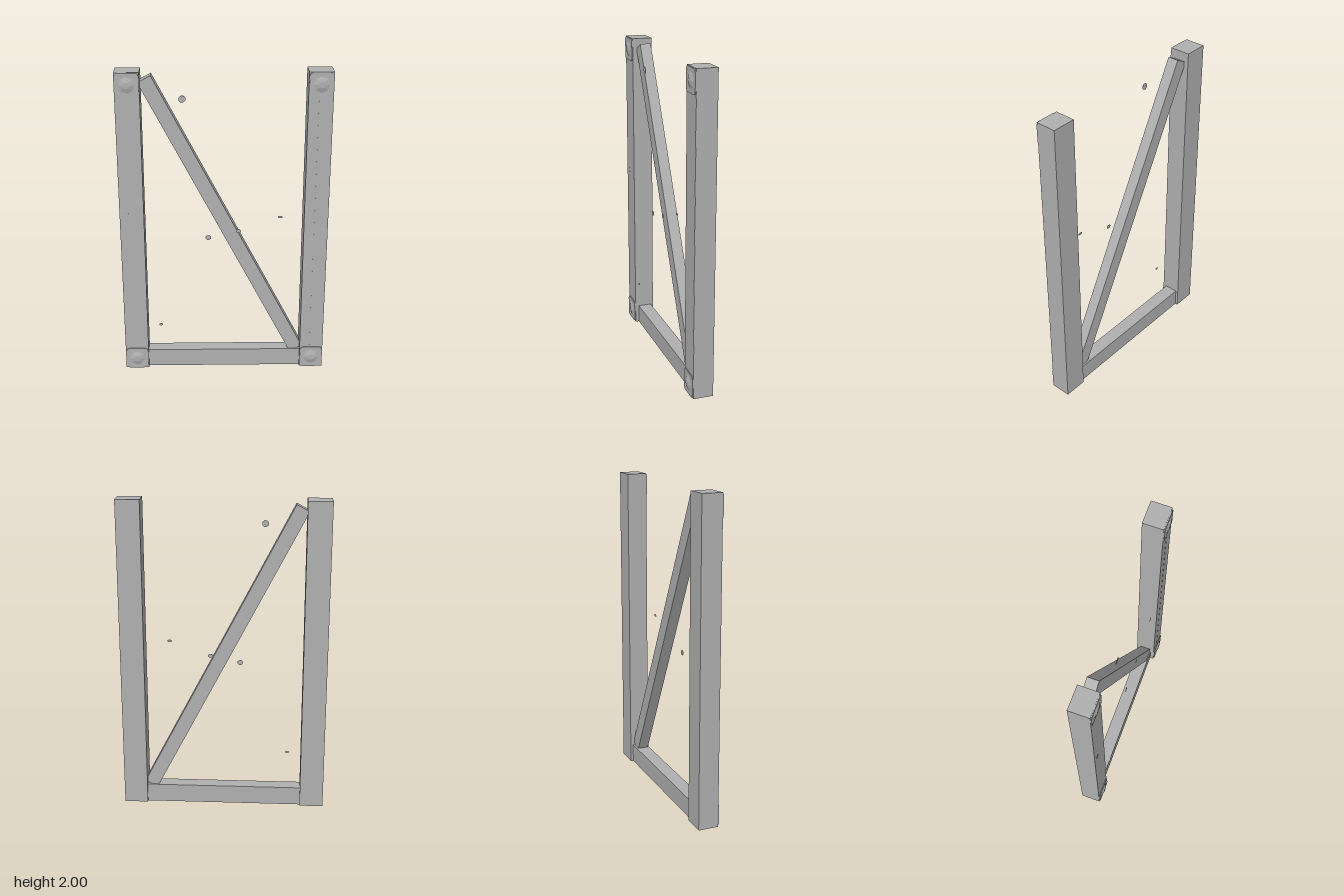
import * as THREE from 'three';

const grey = new THREE.MeshStandardMaterial({ color: 0xb0b0b0 });
grey.name = 'plain grey';
const FRONT = 0.057; // front face of the posts

function add(parent, name, geometry, x, y, z) {
  const mesh = new THREE.Mesh(geometry, grey);
  mesh.name = name;
  mesh.position.set(x, y, z);
  parent.add(mesh);
  return mesh;
}

// Square plate with rounded corners, lying against the post front
function plateGeometry(size, radius, depth) {
  const h = size / 2, c = h - radius;
  const s = new THREE.Shape();
  s.absarc(c, c, radius, 0, Math.PI / 2);
  s.absarc(-c, c, radius, Math.PI / 2, Math.PI);
  s.absarc(-c, -c, radius, Math.PI, Math.PI * 1.5);
  s.absarc(c, -c, radius, Math.PI * 1.5, Math.PI * 2);
  return new THREE.ExtrudeGeometry(s, { depth, bevelEnabled: false, curveSegments: 4 });
}

export function createModel() {
  const group = new THREE.Group();
  group.name = 'bracedFrame';

  // Posts, each with a bracket plate and low boss at both ends
  const postGeo = new THREE.BoxGeometry(0.15, 2, 0.128);
  const plateGeo = plateGeometry(0.145, 0.025, 0.006);
  const bossGeo = new THREE.CylinderGeometry(0.02, 0.05, 0.009, 8).toNonIndexed();
  bossGeo.rotateX(Math.PI / 2);
  bossGeo.computeVertexNormals();
  for (const side of [-1, 1]) {
    const x = side * 0.575;
    add(group, side > 0 ? 'leftPost' : 'rightPost', postGeo, x, 1, FRONT - 0.064);
    for (const y of [0.075, 1.925]) {
      add(group, 'bracketPlate', plateGeo, x, y, FRONT);
      add(group, 'bracketBoss', bossGeo, x, y, FRONT + 0.0105);
    }
  }
  add(group, 'postFacing', new THREE.BoxGeometry(0.085, 1.72, 0.002), 0.606, 1, FRONT);

  // Bottom rail and diagonal brace
  add(group, 'bottomRail', new THREE.BoxGeometry(1, 0.12, 0.088), 0, 0.06, -0.01);
  const brace = add(group, 'diagonalBrace', new THREE.BoxGeometry(0.09, 2.065, 0.07), 0, 1.037, -0.008);
  brace.rotation.z = Math.atan2(0.95, 1.834);

  // Small flat flecks level with the post fronts: x, y, half width, half height
  const fleckGeo = new THREE.CylinderGeometry(1, 1, 0.002, 8);
  fleckGeo.rotateX(Math.PI / 2).rotateZ(Math.PI / 8);
  const flecks = [
    [-0.25, 1.84, 0.022, 0.022], [-0.1, 0.943, 0.018, 0.017], [0.09, 0.985, 0.016, 0.013],
    [0.35, 1.08, 0.016, 0.008], [-0.412, 0.325, 0.013, 0.008], [-0.61, 1.1, 0.017, 0.02],
  ];
  for (const [x, y, rx, ry] of flecks) {
    add(group, 'fleck', fleckGeo, x, y, FRONT).scale.set(rx, ry, 1);
  }
  return group;
}
